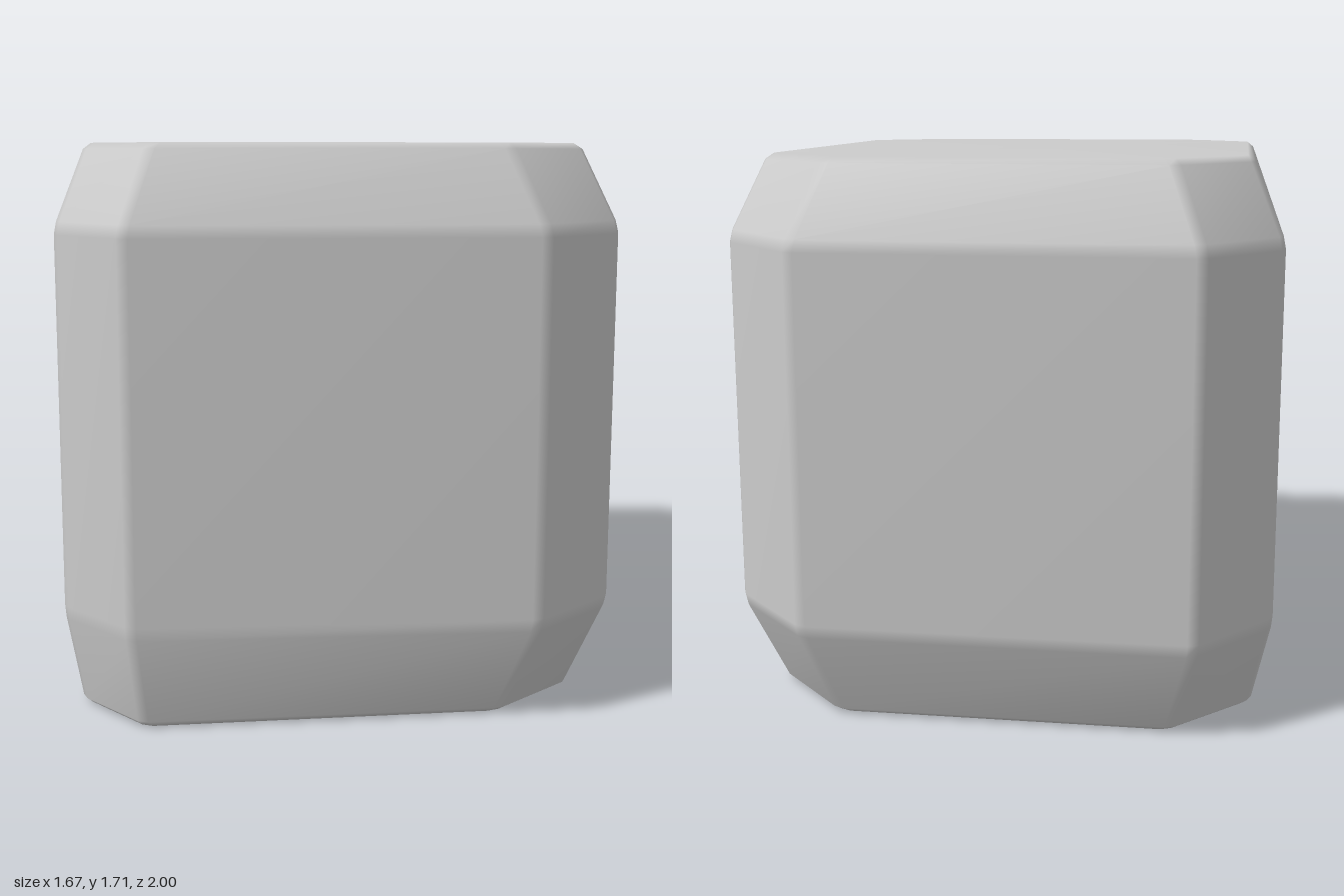
import * as THREE from 'three';

const SOFT = 0.02; // width of the small softening bevel on every edge

// Eight-sided cross-sections: height and [x, z] corners, starting back left, then round by the +x side
const SECTIONS = [
  { y: 0, corners: [[-0.54, -0.89], [0.48, -0.89], [0.72, -0.64], [0.72, 0.7], [0.47, 0.91], [-0.6, 0.96], [-0.79, 0.74], [-0.78, -0.65]] },
  { y: 0.3, corners: [[-0.61, -1], [0.57, -1], [0.835, -0.73], [0.835, 0.77], [0.57, 1], [-0.63, 1], [-0.84, 0.77], [-0.84, -0.73]] },
  { y: 1.46, corners: [[-0.61, -1], [0.57, -1], [0.835, -0.73], [0.835, 0.77], [0.57, 1], [-0.63, 1], [-0.84, 0.77], [-0.84, -0.73]] },
  { y: 1.705, corners: [[-0.52, -0.9], [0.48, -0.89], [0.73, -0.65], [0.73, 0.69], [0.47, 0.9], [-0.55, 0.9], [-0.75, 0.69], [-0.74, -0.65]] },
];

// Move a point a fixed distance towards another
function towards(p, q, distance) {
  return p.clone().lerp(q, distance / p.distanceTo(q));
}

// Replace each corner of a section by two close points
function softRing({ y, corners }) {
  const pts = corners.map(([x, z]) => new THREE.Vector3(x, y, z));
  const n = pts.length;
  return pts.flatMap((p, i) => [
    towards(p, pts[(i + n - 1) % n], SOFT),
    towards(p, pts[(i + 1) % n], SOFT),
  ]);
}

function blockGeometry() {
  const base = SECTIONS.map(softRing);
  const rings = [];
  // Each section becomes two close rings, one on either side of its edge
  base.forEach((ring, k) => {
    const centre = new THREE.Vector3(0, SECTIONS[k].y, 0);
    const below = base[k - 1], above = base[k + 1];
    const shift = (other) => ring.map((p, i) => towards(p, other ? other[i] : centre, SOFT));
    rings.push(shift(below), shift(above));
  });

  const n = rings[0].length;
  const points = rings.flat();
  const bottom = points.push(new THREE.Vector3(0, 0, 0)) - 1;
  const top = points.push(new THREE.Vector3(0, SECTIONS.at(-1).y, 0)) - 1;
  const last = (rings.length - 1) * n;
  const index = [];
  for (let j = 0; j < n; j++) {
    const next = (j + 1) % n;
    for (let r = 0; r < rings.length - 1; r++) {
      const a = r * n + j, b = r * n + next;
      index.push(b, a, a + n, b, a + n, b + n);
    }
    index.push(bottom, j, next, top, last + next, last + j);
  }
  const geometry = new THREE.BufferGeometry().setFromPoints(points);
  geometry.setIndex(index);
  geometry.computeVertexNormals(); // area weighted, so large faces stay flat
  return geometry;
}

export function createModel() {
  const group = new THREE.Group();
  group.name = 'chamferedStone';
  const block = new THREE.Mesh(blockGeometry(), new THREE.MeshStandardMaterial({ color: 0xcccccc }));
  block.name = 'stoneBlock';
  group.add(block);
  return group;
}
